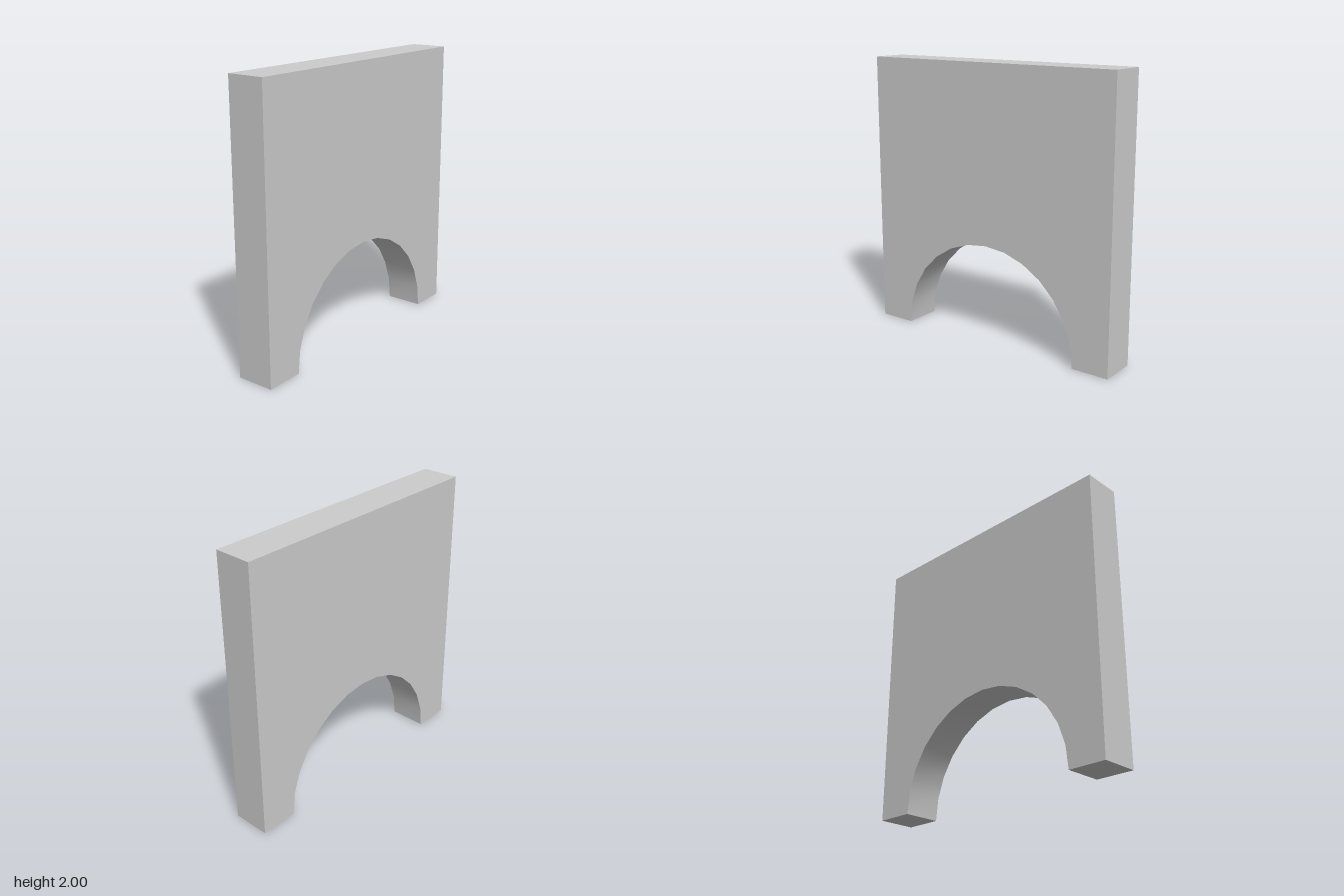
import * as THREE from 'three';
import { toCreasedNormals } from 'three/addons/utils/BufferGeometryUtils.js';

export function createModel() {
  const group = new THREE.Group();
  group.name = 'archWall';
  const radius = 0.727, depth = 0.272, segments = 14;

  // Square wall outline with a half-round opening at the base
  const outline = new THREE.Shape();
  outline.moveTo(radius, 0);
  outline.lineTo(1, 0);
  outline.lineTo(1, 2);
  outline.lineTo(-1, 2);
  outline.lineTo(-1, 0);
  for (let i = 0; i < segments; i++) {
    const a = Math.PI * (1 - i / segments);
    outline.lineTo(radius * Math.cos(a), radius * Math.sin(a));
  }
  outline.closePath();

  // Wall slab, smooth inside the arch and sharp at its edges
  const slab = new THREE.ExtrudeGeometry(outline, { depth, bevelEnabled: false });
  slab.translate(0, 0, -depth / 2);
  const wall = new THREE.Mesh(
    toCreasedNormals(slab, Math.PI / 6),
    new THREE.MeshStandardMaterial({ color: 0xcccccc })
  );
  wall.name = 'wallWithArch';
  group.add(wall);
  return group;
}
